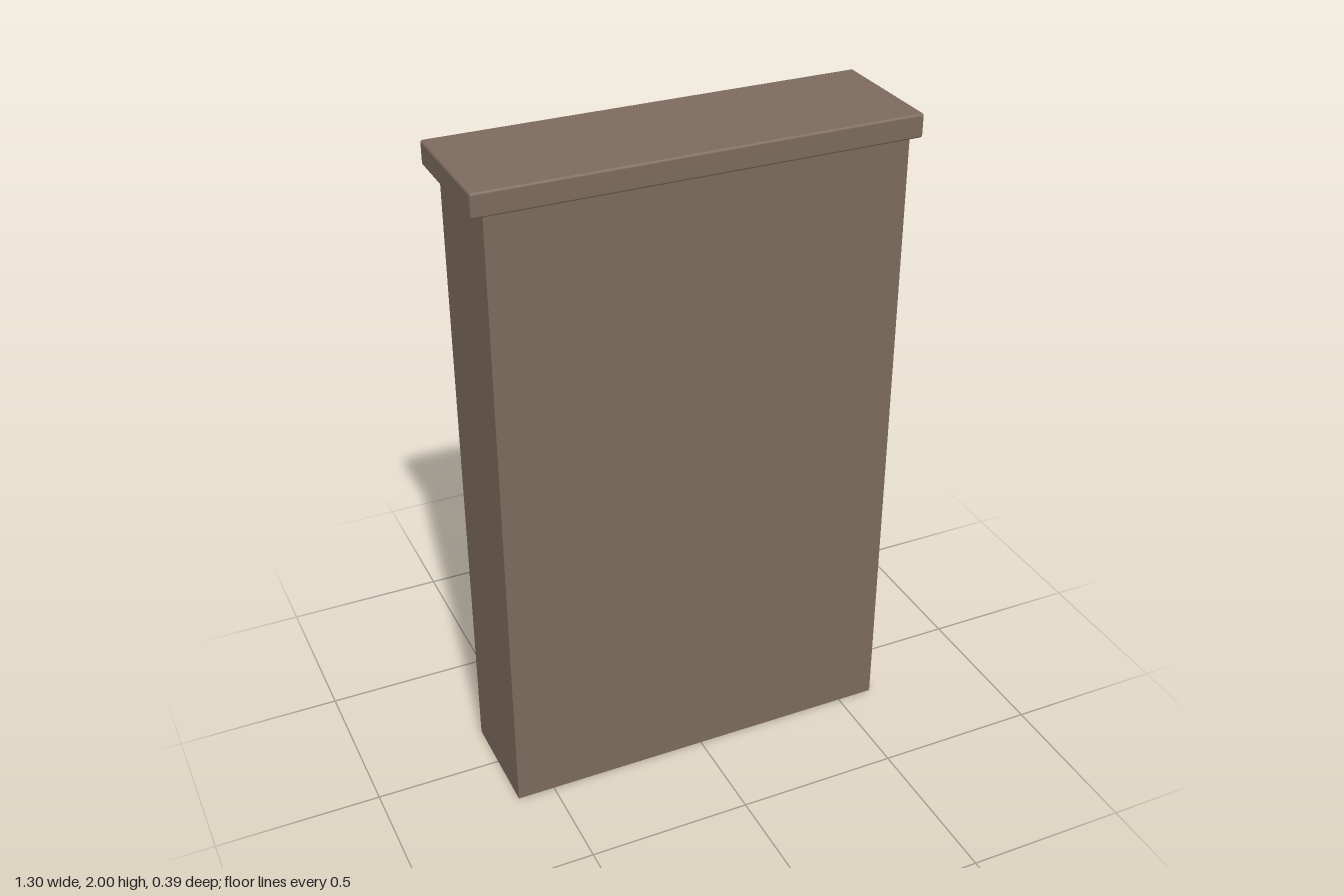
import * as THREE from 'three';
import { RoundedBoxGeometry } from 'three/addons/geometries/RoundedBoxGeometry.js';

const mat = (name, color) => {
  const m = new THREE.MeshStandardMaterial({ color });
  m.name = name;
  return m;
};

export function createModel() {
  const wood = mat('brown wood', 0x7c6a5c);
  const red = mat('red cover', 0x965a5a);
  const green = mat('green cover', 0x5d8067);
  const purple = mat('purple cover', 0x6a6a8a);

  const model = new THREE.Group();
  model.name = 'bookcase';

  // Box given by its minimum and maximum corners
  const box = (name, material, [x0, y0, z0], [x1, y1, z1], parent = model) => {
    const geo = new THREE.BoxGeometry(x1 - x0, y1 - y0, z1 - z0);
    const mesh = new THREE.Mesh(geo, material);
    mesh.position.set((x0 + x1) / 2, (y0 + y1) / 2, (z0 + z1) / 2);
    mesh.name = name;
    parent.add(mesh);
  };

  const outer = 0.615, inner = 0.565, bodyTop = 1.93;
  const openZ = -0.157, closedZ = 0.185, panelZ = 0.158;

  // Carcass: sides, flat panel and base; the shelves open towards -z
  box('leftSide', wood, [inner, 0, openZ], [outer, bodyTop, closedZ]);
  box('rightSide', wood, [-outer, 0, openZ], [-inner, bodyTop, closedZ]);
  box('panel', wood, [-inner, 0.07, panelZ], [inner, bodyTop, closedZ]);
  box('base', wood, [-inner, 0, openZ], [inner, 0.07, closedZ]);

  // Overhanging top board with softened edges
  const top = new THREE.Mesh(new RoundedBoxGeometry(1.3, 0.07, 0.394, 2, 0.007), wood);
  top.position.y = 1.965;
  top.name = 'topBoard';
  model.add(top);

  // Shelves, each slightly set back
  const levels = [0.07, 0.57, 1.068, 1.566];
  for (const y of levels.slice(1)) {
    box('shelf', wood, [-inner, y - 0.03, -0.127], [inner, y, panelZ]);
  }

  // Books: a repeating trio, shifted by one on each shelf
  const kinds = [
    { name: 'redBook', material: red, width: 0.054, height: 0.3 },
    { name: 'greenBook', material: green, width: 0.081, height: 0.42 },
    { name: 'purpleBook', material: purple, width: 0.113, height: 0.355 },
  ];
  for (let row = 0; row < 3; row++) {
    const books = new THREE.Group();
    books.name = 'bookRow';
    model.add(books);
    const y = levels[row];
    let x = -0.53;
    for (let i = row; ; i++) {
      const { name, material, width, height } = kinds[i % 3];
      if (x + width > 0.558) break;
      box(name, material, [x, y, -0.122], [x + width, y + height, 0.1], books);
      x += width + 0.0085;
    }
  }

  return model;
}
